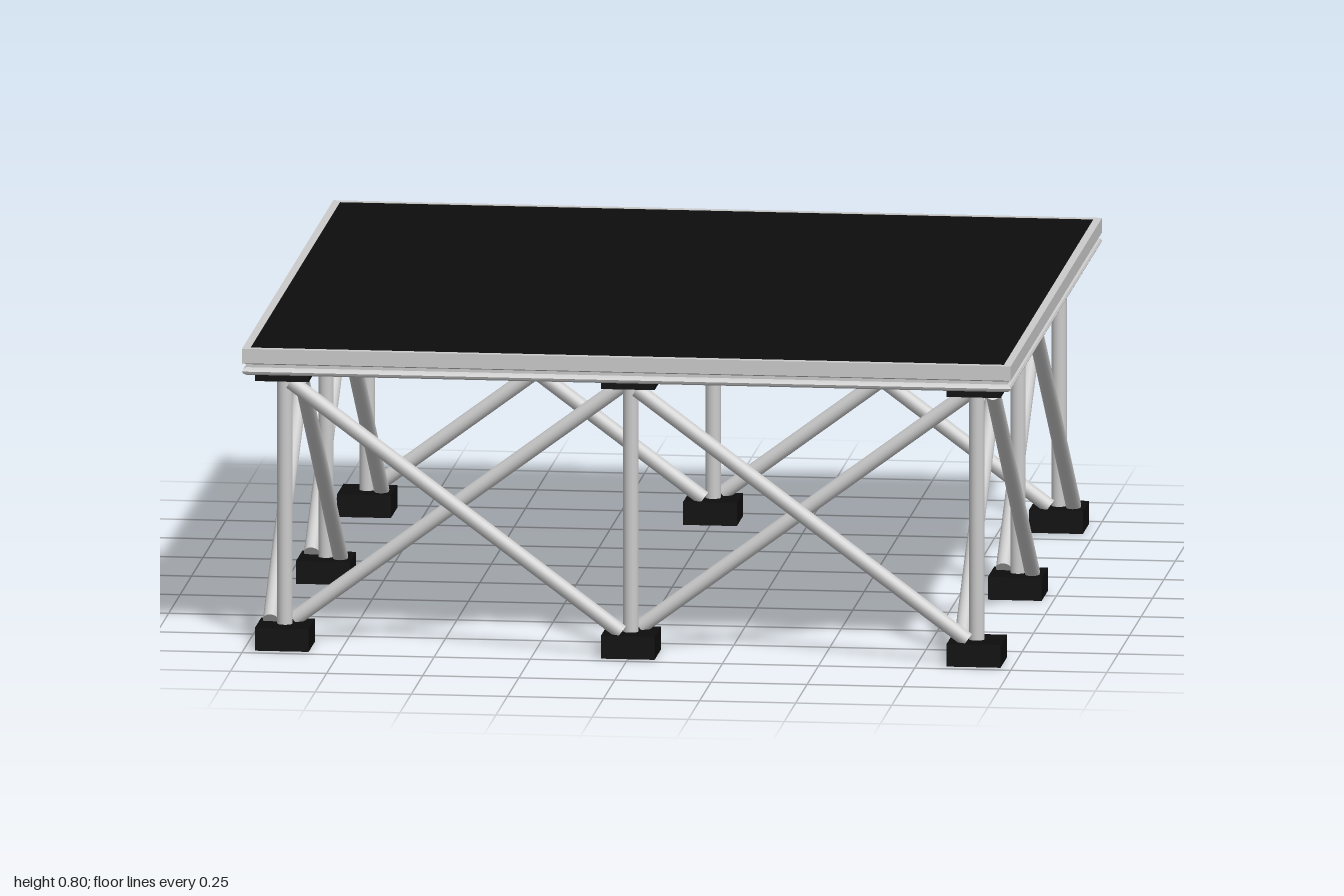
import * as THREE from 'three';

const grey = new THREE.MeshStandardMaterial({ color: 0xcccccc });
const greyFlat = new THREE.MeshStandardMaterial({ color: 0xcccccc, flatShading: true });
const black = new THREE.MeshStandardMaterial({ color: 0x0d0d0d });

const H = 0.9;        // distance of the support line from the centre
const R = 0.02;       // tube radius
const FOOT = 0.06, HEAD = 0.71, DECK = 0.73;

function box(name, w, h, d, x, y, z, material) {
  const mesh = new THREE.Mesh(new THREE.BoxGeometry(w, h, d), material);
  mesh.name = name;
  mesh.position.set(x, y, z);
  return mesh;
}

// Round tube between two points
function tube(name, a, b) {
  const dir = new THREE.Vector3().subVectors(b, a);
  const mesh = new THREE.Mesh(new THREE.CylinderGeometry(R, R, dir.length(), 16), grey);
  mesh.name = name;
  mesh.position.copy(a).add(b).multiplyScalar(0.5);
  mesh.quaternion.setFromUnitVectors(new THREE.Vector3(0, 1, 0), dir.normalize());
  return mesh;
}

// Square deck frame: an extrusion profile swept round four mitred sides
function deckFrame() {
  const profile = [
    [0.975, 0.73], [0.99, 0.73], [0.997, 0.734], [1, 0.74], [0.997, 0.746],
    [0.99, 0.75], [0.99, 0.758], [1, 0.762], [1, 0.8], [0.98, 0.8],
    [0.98, 0.742], [0.975, 0.742], [0.975, 0.73],
  ].map(([r, y]) => new THREE.Vector2(r * Math.SQRT2, y));
  const geometry = new THREE.LatheGeometry(profile, 4, Math.PI / 4).toNonIndexed();
  const mesh = new THREE.Mesh(geometry, greyFlat);
  mesh.name = 'deckFrame';
  return mesh;
}

// One side of the substructure, facing +z: corner and middle supports, two crossed bays
function side(index) {
  const group = new THREE.Group();
  group.name = 'supportSide' + (index + 1);
  for (const x of [-H, 0]) {
    group.add(
      box('foot', 0.14, FOOT, 0.14, x, FOOT / 2, H, black),
      box('headPlate', 0.14, DECK - HEAD, 0.14, x, (DECK + HEAD) / 2, H, black),
      tube('post', new THREE.Vector3(x, FOOT - 0.01, H), new THREE.Vector3(x, HEAD + 0.01, H)),
    );
    // Crossed braces pass on either side of the post line
    const x0 = x + 0.02, x1 = x + H - 0.02;
    const low = FOOT + 0.005, high = HEAD - 0.005;
    group.add(
      tube('outerBrace', new THREE.Vector3(x0, high, H + 0.04), new THREE.Vector3(x1, low, H + 0.04)),
      tube('innerBrace', new THREE.Vector3(x0, low, H - 0.04), new THREE.Vector3(x1, high, H - 0.04)),
    );
  }
  group.rotation.y = index * Math.PI / 2;
  return group;
}

export function createModel() {
  const model = new THREE.Group();
  model.name = 'stagePlatform';

  // Deck: frame, underside panel and dark walking surface
  model.add(
    deckFrame(),
    box('deckPanel', 1.96, 0.05, 1.96, 0, 0.766, 0, grey),
    box('deckSurface', 1.96, 0.008, 1.96, 0, 0.795, 0, black),
  );

  // Four sides, each carrying one corner and one middle support
  for (let i = 0; i < 4; i++) model.add(side(i));
  return model;
}
